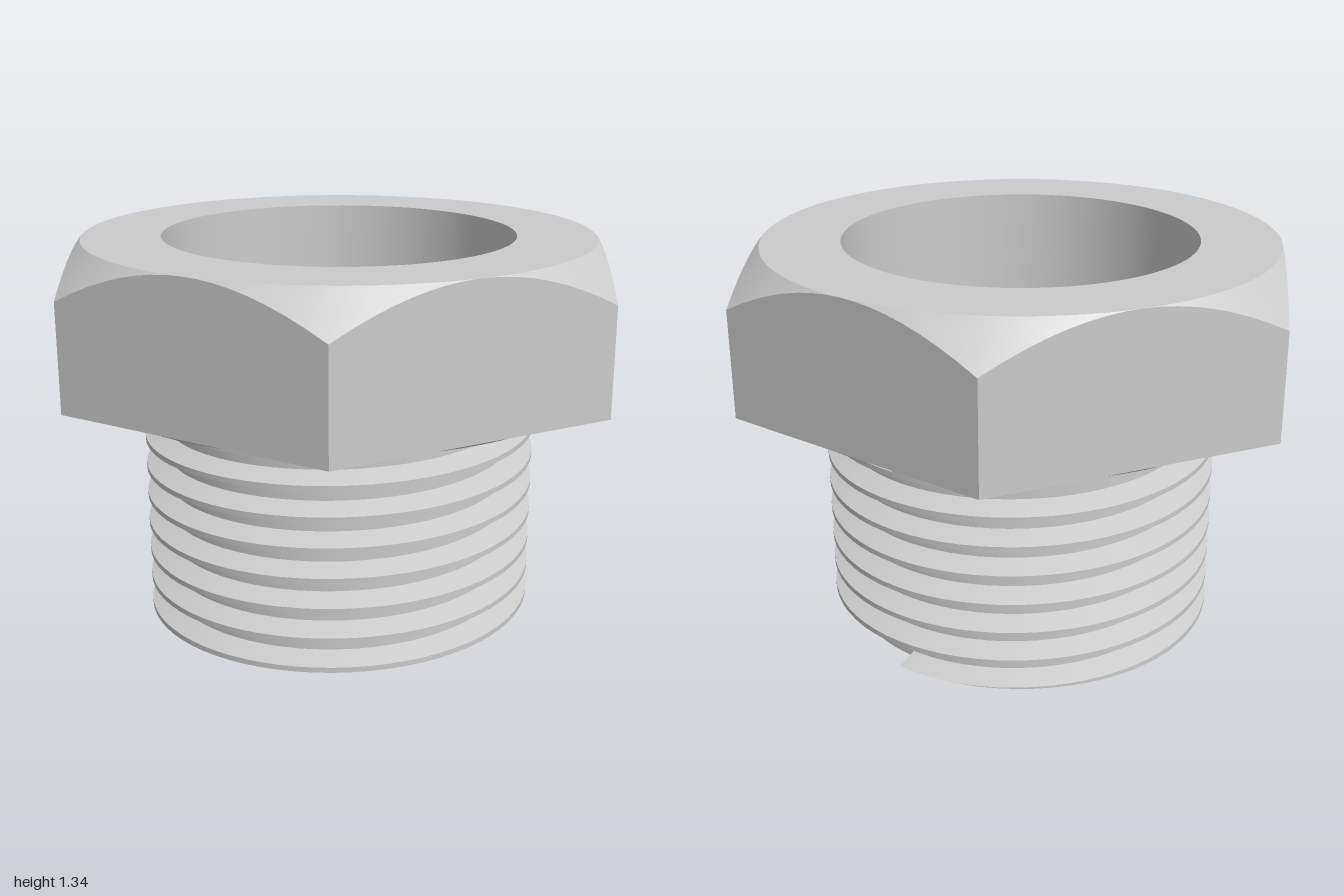
import * as THREE from 'three';
import { toCreasedNormals } from 'three/addons/utils/BufferGeometryUtils.js';

const TAU = Math.PI * 2;
const BORE = 0.6, ROOT = 0.606, CREST = 0.68;
const TOP = 1.34, HEAD_BOTTOM = 0.84, SEAT = 0.832;
const APOTHEM = Math.sqrt(3) / 2;
const PITCH = 0.1035, TURNS = 7, START = -0.014;

// Sweeps a closed (radius, height) profile around the y axis; the profile may change with the angle.
function sweep(profile, turns, segments, capped) {
  const positions = [], index = [];
  let n = 0;
  for (let i = 0; i <= segments; i++) {
    const a = (i / segments) * turns * TAU;
    const ring = profile(a);
    n = ring.length;
    for (const [r, y] of ring) positions.push(-r * Math.sin(a), y, -r * Math.cos(a));
  }
  for (let i = 0; i < segments; i++) {
    for (let j = 0; j < n; j++) {
      const k = (j + 1) % n;
      const a = i * n + j, b = a + n, c = (i + 1) * n + k, d = i * n + k;
      index.push(a, b, c, a, c, d);
    }
  }
  if (capped) {
    const e = segments * n;
    for (let j = 1; j < n - 1; j++) {
      index.push(0, j, j + 1);
      index.push(e, e + j + 1, e + j);
    }
  }
  const g = new THREE.BufferGeometry();
  g.setAttribute('position', new THREE.Float32BufferAttribute(positions, 3));
  g.setIndex(index);
  return toCreasedNormals(g, 0.5);
}

// Distance from the axis to the hexagon's side at an angle; corners lie on the x axis.
function hexRadius(a) {
  const sixth = TAU / 6;
  const d = ((a + sixth / 2) % sixth) - sixth / 2;
  return APOTHEM / Math.cos(d);
}

export function createModel() {
  const group = new THREE.Group();
  const material = new THREE.MeshStandardMaterial({ color: 0xcccccc, side: THREE.DoubleSide });
  const add = (name, geometry) => {
    const mesh = new THREE.Mesh(geometry, material);
    mesh.name = name;
    group.add(mesh);
  };

  // Hexagonal head with a conical top chamfer and a round seating face below
  add('hexHead', sweep((a) => {
    const r = hexRadius(a);
    return [
      [BORE, SEAT], [APOTHEM - 0.01, SEAT], [APOTHEM - 0.002, HEAD_BOTTOM],
      [r, HEAD_BOTTOM], [r, TOP - (r - APOTHEM)], [APOTHEM, TOP], [BORE, TOP],
    ];
  }, 1, 96, false));

  // Thin hollow shank under the head
  add('shank', sweep(() => [[BORE, 0], [ROOT, 0], [ROOT, SEAT], [BORE, SEAT]], 1, 96, false));

  // Helical thread, cut off flat at the bottom of the shank
  const height = (a) => START + (PITCH * a) / TAU;
  const inner = ROOT - 0.003;
  add('thread', sweep((a) => {
    const y = height(a);
    return [[inner, y - 0.037], [CREST, y - 0.009], [CREST, y + 0.009], [inner, y + 0.037]]
      .map(([r, h]) => [r, Math.max(0, h)]);
  }, TURNS, TURNS * 72, true));

  // Collar whose lower edge carries on the thread's helix for one more turn
  add('collar', sweep((a) => {
    const y = height(a + TURNS * TAU);
    return [[inner, y - 0.037], [CREST, y - 0.009], [CREST, HEAD_BOTTOM], [inner, HEAD_BOTTOM]];
  }, 1, 72, true));

  return group;
}
